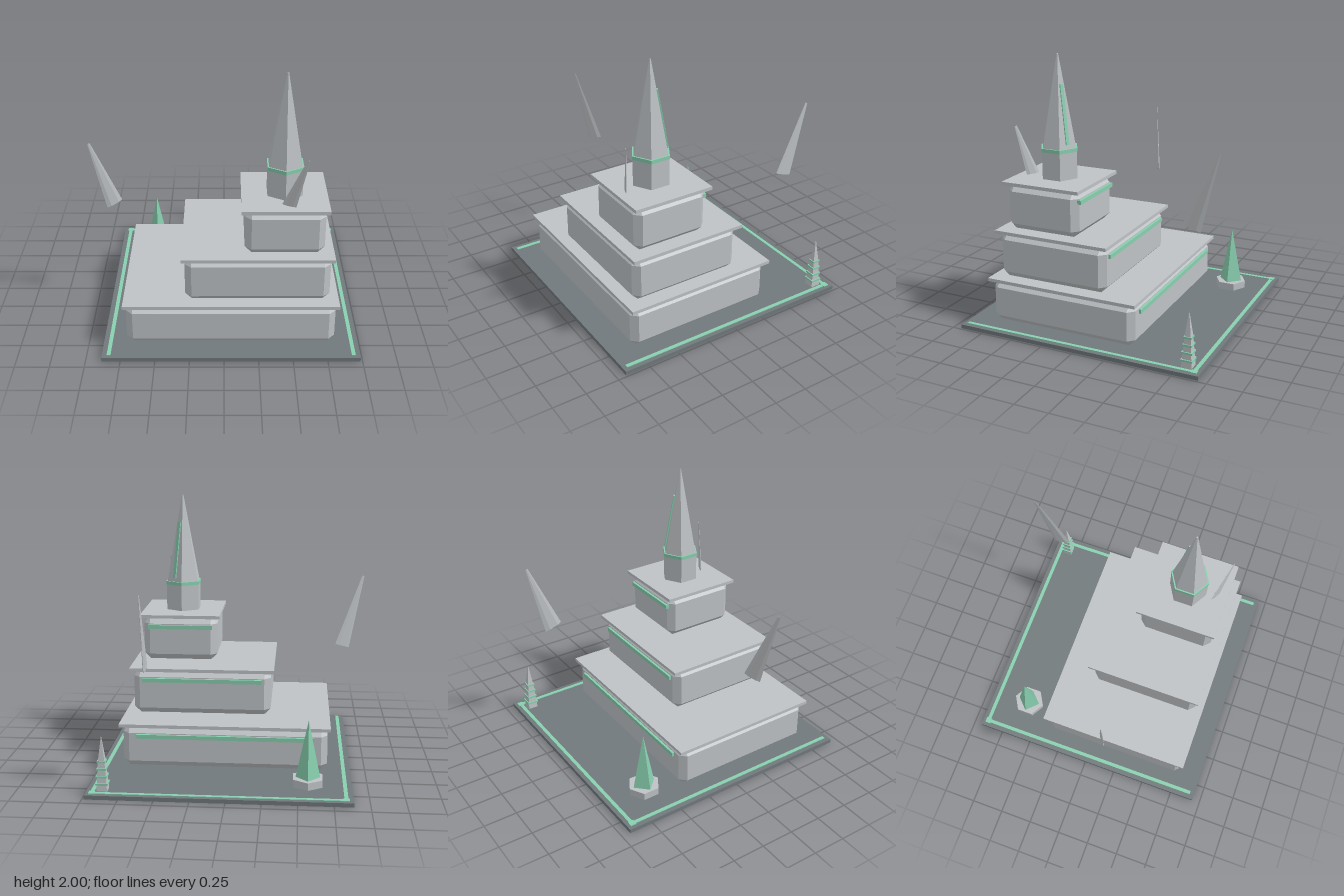
import * as THREE from 'three';
import { ConvexGeometry } from 'three/addons/geometries/ConvexGeometry.js';

const mat = (name, color) => {
  const m = new THREE.MeshStandardMaterial({ color });
  m.name = name;
  return m;
};

// Faceted normals for low-poly parts
function faceted(geo) {
  const g = geo.index ? geo.toNonIndexed() : geo;
  g.computeVertexNormals();
  return g;
}

// Box with every edge and corner cut at 45 degrees
function chamferBox(w, h, d, c) {
  const pts = [];
  for (const x of [-w / 2, w / 2]) for (const y of [-h / 2, h / 2]) for (const z of [-d / 2, d / 2]) {
    const cx = Math.sign(x) * c, cy = Math.sign(y) * c, cz = Math.sign(z) * c;
    pts.push(
      new THREE.Vector3(x, y - cy, z - cz),
      new THREE.Vector3(x - cx, y, z - cz),
      new THREE.Vector3(x - cx, y - cy, z));
  }
  return new ConvexGeometry(pts);
}

export function createModel() {
  const stone = mat('paleStone', 0xbec2c5);
  const slate = mat('darkSlate', 0x71797c);
  const green = mat('jadeGreen', 0x88cfaf);
  const model = new THREE.Group();
  model.name = 'steppedTemple';

  function add(name, geo, material, x, y, z, parent = model) {
    const mesh = new THREE.Mesh(geo, material);
    mesh.name = name;
    mesh.position.set(x, y, z);
    parent.add(mesh);
    return mesh;
  }
  // Box given by its limits on each axis
  const span = (name, material, x0, x1, y0, y1, z0, z1) =>
    add(name, new THREE.BoxGeometry(x1 - x0, y1 - y0, z1 - z0), material,
      (x0 + x1) / 2, (y0 + y1) / 2, (z0 + z1) / 2);
  // Faceted tapered prism standing on y0
  const prism = (name, material, rTop, rBottom, y0, y1, sides, x, z, start = 0, parent = model) =>
    add(name, faceted(new THREE.CylinderGeometry(rTop, rBottom, y1 - y0, sides, 1, false, start)),
      material, x, (y0 + y1) / 2, z, parent);

  // Ground plate with inlaid border on three sides
  span('basePlate', slate, -0.885, 0.985, 0, 0.03, -0.935, 0.935);
  for (const [side, x] of [['right', -0.835], ['left', 0.938]]) {
    span(side + 'BorderStrip', green, x - 0.014, x + 0.014, 0.028, 0.035, -0.89, 0.905);
    span(side + 'BorderCorner', green, x - 0.022, x + 0.022, 0.028, 0.037, -0.912, -0.867);
  }
  span('backBorderStrip', green, -0.835, 0.938, 0.028, 0.034, -0.904, -0.876);

  // Three stepped storeys, each with a roof slab and a strip along the back
  const tiers = [
    { x: [-0.715, 0.812], z: [-0.382, 0.77], y: [0.03, 0.345], roof: [-0.735, 0.835, -0.405, 0.785], half: 0.66 },
    { x: [-0.283, 0.765], z: [-0.14, 0.72], y: [0.37, 0.71], roof: [-0.307, 0.79, -0.167, 0.738], half: 0.455 },
    { x: [0.146, 0.718], z: [0.098, 0.673], y: [0.735, 1.072], roof: [0.122, 0.743, 0.073, 0.692], half: 0.25 },
  ];
  tiers.forEach(({ x, y, z, roof, half }, i) => {
    const mid = (x[0] + x[1]) / 2, top = y[1];
    add('storey' + (i + 1), chamferBox(x[1] - x[0], top - y[0], z[1] - z[0], 0.048), stone,
      mid, (y[0] + top) / 2, (z[0] + z[1]) / 2);
    span('roofSlab' + (i + 1), stone, roof[0], roof[1], top, top + 0.025, roof[2], roof[3]);
    span('backLightStrip' + (i + 1), green, mid - half, mid + half,
      top - 0.086, top - 0.055, z[0] - 0.018, z[0] + 0.01);
  });

  // Hexagonal main tower
  const tx = 0.435, tz = 0.383;
  prism('towerDrum', stone, 0.145, 0.145, 1.09, 1.3, 6, tx, tz);
  prism('towerRing', green, 0.149, 0.149, 1.298, 1.325, 6, tx, tz);
  prism('towerSpire', stone, 0.006, 0.137, 1.324, 2, 6, tx, tz);

  // Slim strip lying on one sloping face of the spire
  const stripPivot = new THREE.Group();
  stripPivot.name = 'spireStripMount';
  stripPivot.position.set(tx, 0, tz);
  stripPivot.rotation.y = Math.PI * 5 / 6;
  model.add(stripPivot);
  const strip = add('spireStrip', new THREE.BoxGeometry(0.025, 0.44, 0.016), green, 0, 1.57, 0.08, stripPivot);
  strip.rotation.x = -0.166;

  // Green four-sided spire on a hexagonal plinth
  prism('plinth', stone, 0.121, 0.121, 0.03, 0.085, 6, -0.57, -0.622);
  prism('greenSpire', green, 0, 0.088, 0.085, 0.51, 4, -0.57, -0.622);

  // Small banded pinnacle
  const pinnacle = new THREE.Group();
  pinnacle.name = 'pinnacle';
  pinnacle.position.set(0.873, 0, -0.823);
  model.add(pinnacle);
  const square = (name, m, half0, half1, y0, y1) =>
    prism(name, m, half1 * Math.SQRT2, half0 * Math.SQRT2, y0, y1, 4, 0, 0, Math.PI / 4, pinnacle);
  square('pinnacleBody', stone, 0.038, 0.023, 0.03, 0.25);
  square('pinnacleTip', stone, 0.023, 0, 0.25, 0.435);
  for (let i = 0; i < 4; i++) {
    const half = 0.043 - i * 0.0045, y = 0.076 + i * 0.0545;
    square('pinnacleBand' + (i + 1), green, half, half, y, y + 0.014);
  }

  // Flat leaning shards, thin across the vertical plane they lean in
  function shard(name, base, tip, radius) {
    const a = new THREE.Vector3(...base), b = new THREE.Vector3(...tip);
    const d = b.clone().sub(a);
    const geo = new THREE.CylinderGeometry(0.01, radius, d.length(), 6, 1, false, Math.PI / 6);
    geo.scale(1, 1, 0.18);
    const c = a.add(b).multiplyScalar(0.5);
    const mesh = add(name, faceted(geo), stone, c.x, c.y, c.z);
    mesh.rotation.set(0, Math.atan2(d.z, -d.x), Math.atan2(Math.hypot(d.x, d.z), d.y));
  }
  shard('rightShard', [-0.825, 0.865, 0.142], [-0.978, 1.4, 0.226], 0.064);
  shard('backShard', [0.572, 0.897, -0.712], [0.57, 1.438, -0.897], 0.071);
  shard('frontShard', [0.453, 1.08, 0.598], [0.575, 1.475, 0.662], 0.053);

  return model;
}
